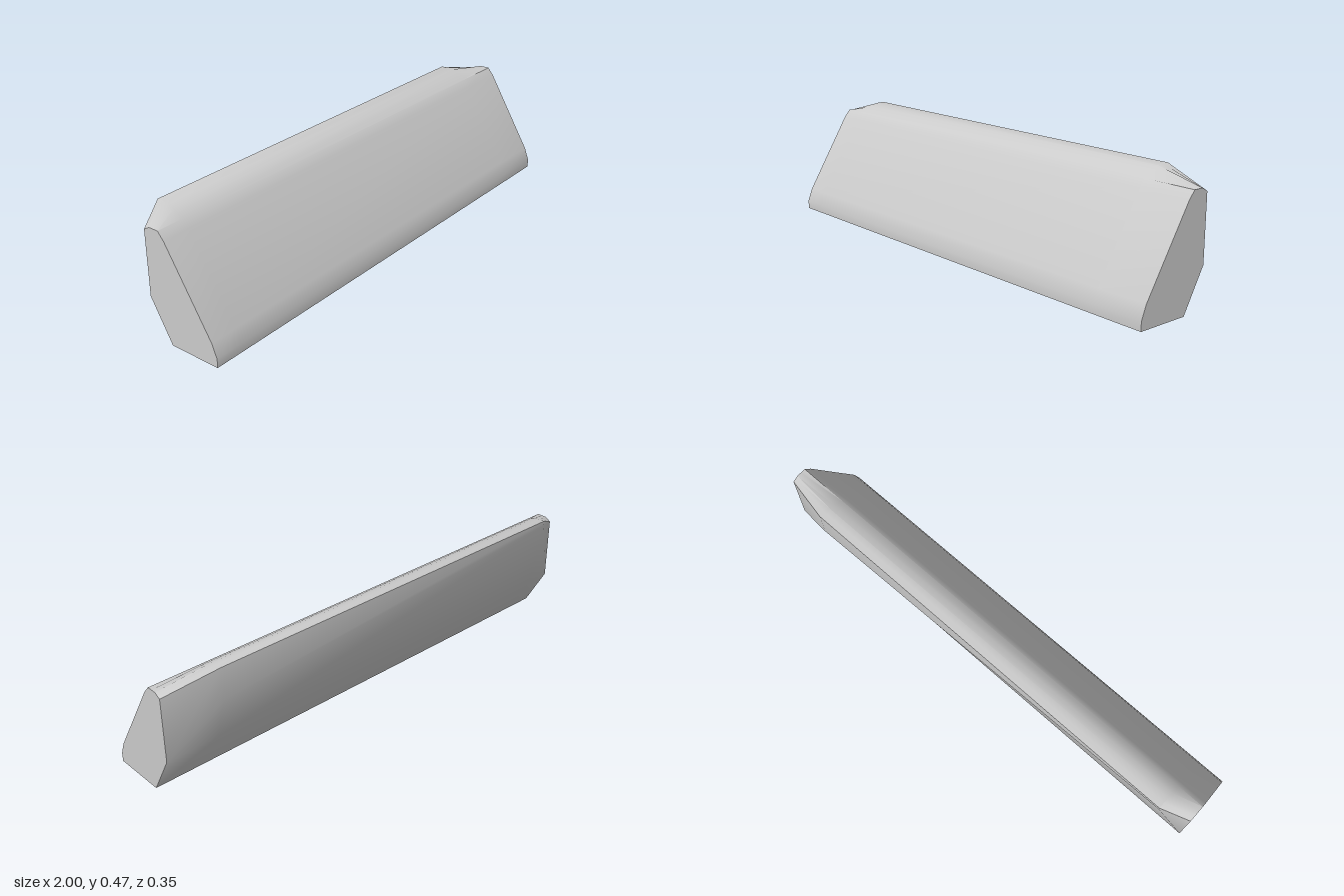
import * as THREE from 'three';
import { toCreasedNormals } from 'three/addons/utils/BufferGeometryUtils.js';

// Shared front and top profile as [z, y], running from front foot up and over to the back foot
const END = [[0.175, 0], [0.175, 0.035], [0.155, 0.087], [-0.035, 0.397], [-0.06, 0.427],
  [-0.08, 0.427], [-0.10, 0.427], [-0.112, 0.42], [-0.125, 0.413],
  [-0.125, 0.16], [-0.125, 0.16], [-0.035, 0]];

// Full section; lipY is the lower edge of the upright back face
const fullSection = (lipY) => [...END.slice(0, 5),
  [-0.10, 0.451], [-0.125, 0.462], [-0.15, 0.465], [-0.175, 0.465],
  [-0.175, lipY], [-0.125, 0.16], [-0.035, 0]];

function loft(sections) {
  const positions = [];
  const tri = (a, b, c) => {
    const area = new THREE.Triangle(a, b, c).getArea();
    if (area > 1e-7) for (const p of [a, b, c]) positions.push(p.x, p.y, p.z);
  };
  const rings = sections.map(({ x, points }) => points.map(([z, y]) => new THREE.Vector3(x, y, z)));
  const n = rings[0].length;

  // Skin between neighbouring sections
  for (let s = 0; s < rings.length - 1; s++) {
    const a = rings[s], b = rings[s + 1];
    for (let i = 0; i < n; i++) {
      const j = (i + 1) % n;
      tri(a[i], b[i], b[j]);
      tri(a[i], b[j], a[j]);
    }
  }

  // Flat end caps
  const first = rings[0], last = rings[rings.length - 1];
  for (let i = 1; i < n - 1; i++) {
    tri(first[0], first[i], first[i + 1]);
    tri(last[0], last[i + 1], last[i]);
  }

  const geometry = new THREE.BufferGeometry();
  geometry.setAttribute('position', new THREE.Float32BufferAttribute(positions, 3));
  return toCreasedNormals(geometry, 0.7);
}

export function createModel() {
  const grey = new THREE.MeshStandardMaterial({ color: 0xcccccc });
  grey.name = 'light grey';

  // Slanted bar with chamfered ends, the back lip deepening toward its left
  const bar = new THREE.Mesh(loft([
    { x: -1, points: END },
    { x: -0.89, points: fullSection(0.445) },
    { x: 0.79, points: fullSection(0.335) },
    { x: 1, points: END },
  ]), grey);
  bar.name = 'slantedBar';

  const group = new THREE.Group();
  group.name = 'chamferedBar';
  group.add(bar);
  return group;
}
